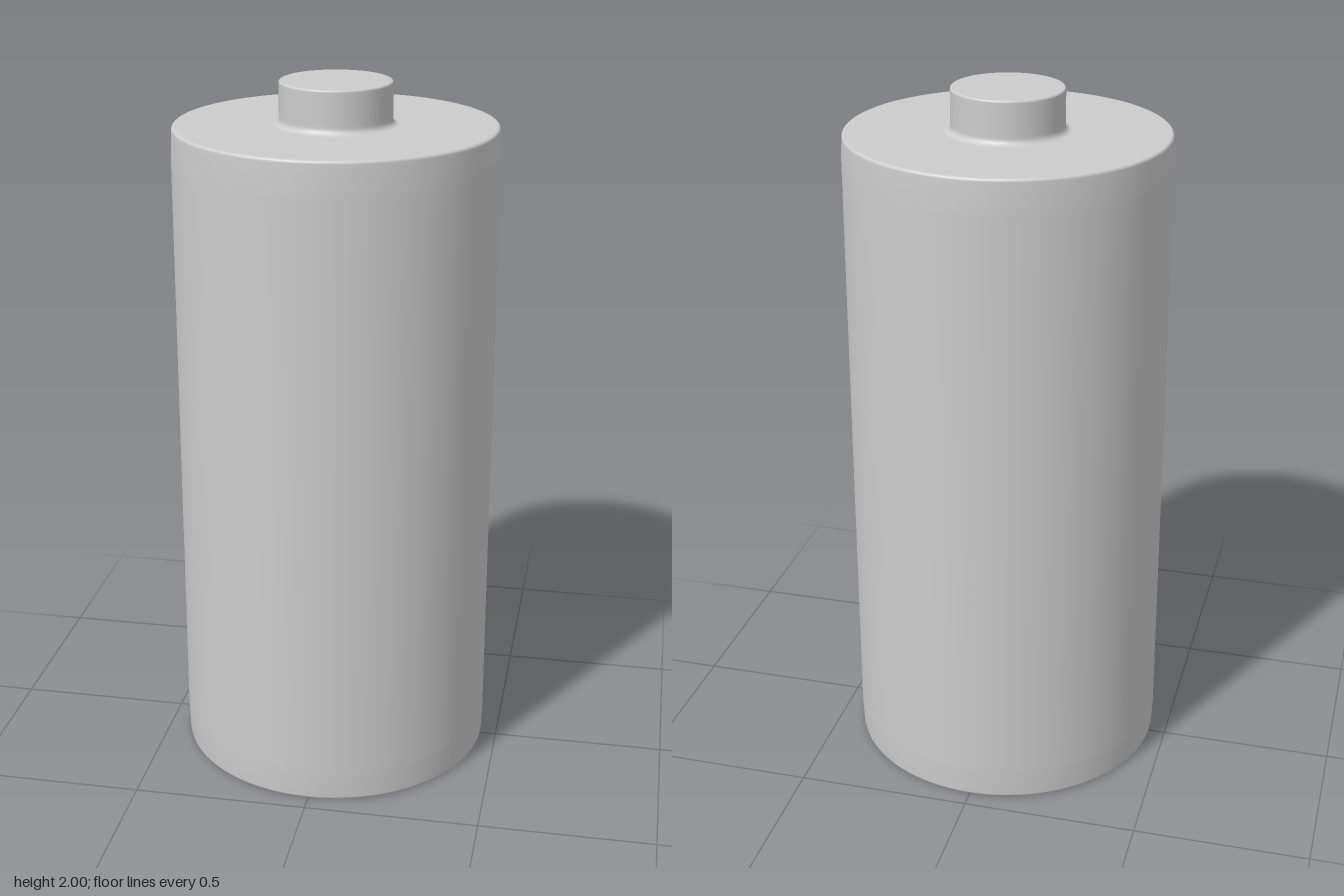
import * as THREE from 'three';

const SEGMENTS = 96;

// Adds a quarter-round to a profile, from angle a0 to a1 about (cx, cy)
function arc(points, cx, cy, r, a0, a1, steps = 5) {
  for (let i = 0; i <= steps; i++) {
    const a = a0 + ((a1 - a0) * i) / steps;
    points.push(new THREE.Vector2(cx + r * Math.cos(a), cy + r * Math.sin(a)));
  }
}

function lathe(name, points, material) {
  const mesh = new THREE.Mesh(new THREE.LatheGeometry(points, SEGMENTS), material);
  mesh.name = name;
  return mesh;
}

export function createModel() {
  const group = new THREE.Group();
  group.name = 'batteryCell';
  const material = new THREE.MeshStandardMaterial({ color: 0xcccccc });
  const P = (x, y) => new THREE.Vector2(x, y);
  const H = Math.PI / 2;

  const R = 0.455, top = 1.88, edge = 0.009; // casing
  const r = 0.157, fillet = 0.018, rim = 0.006; // terminal

  // Casing: flat base, softly rounded rims, faintly drawn in at both ends
  const casing = [P(0, 0), P(R - 0.03, 0)];
  arc(casing, R - 0.003 - edge, edge, edge, -H, 0);
  casing.push(P(R - 0.002, 0.03), P(R, 0.08), P(R, 0.1));
  casing.push(P(R, 1.78), P(R, 1.8), P(R - 0.002, 1.85));
  arc(casing, R - 0.003 - edge, top - edge, edge, 0, H);
  casing.push(P(R - 0.03, top), P(r + fillet + 0.01, top), P(r + fillet - 0.001, top));
  group.add(lathe('casing', casing, material));

  // Terminal: filleted foot, straight wall and rounded top rim
  const terminal = [P(r + fillet + 0.004, top)];
  arc(terminal, r + fillet, top + fillet, fillet, -H, -2 * H);
  terminal.push(P(r, top + fillet + 0.01), P(r, 2 - rim - 0.01));
  arc(terminal, r - rim, 2 - rim, rim, 0, H);
  terminal.push(P(r - rim - 0.01, 2), P(0, 2));
  group.add(lathe('positiveTerminal', terminal, material));

  return group;
}
